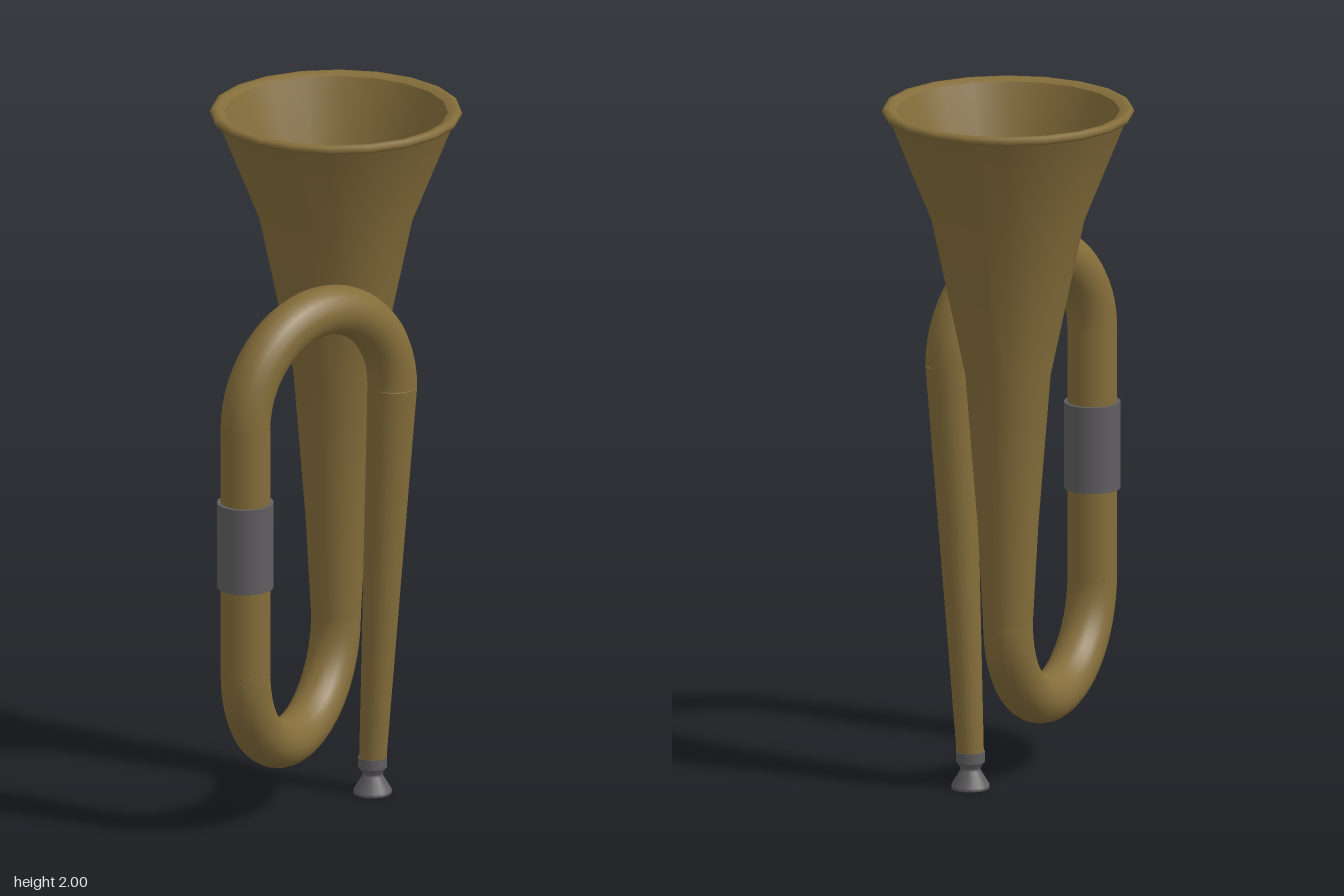
import * as THREE from 'three';

const brass = new THREE.MeshStandardMaterial({ color: 0x846d3a });
brass.name = 'brass';
const steel = new THREE.MeshStandardMaterial({ color: 0x605e60 });
steel.name = 'darkSteel';
const black = new THREE.MeshStandardMaterial({ color: 0x0a0a0a });
black.name = 'boreBlack';

const BACK = -0.145, FRONT = 0.42;      // z of the two runs of tubing
const MID = (BACK + FRONT) / 2, BEND = (FRONT - BACK) / 2;
const LOW = 0.5, HIGH = 1.22, R = 0.07; // ends of the straight runs, tube radius
const frontX = 0.115, pipeX = 0.2, mouthX = 0.13;

// Half-circle bend leaning sideways from backX to frontX
class Bend extends THREE.Curve {
  constructor(y, dir, backX) {
    super();
    Object.assign(this, { y, dir, backX });
  }
  getPoint(t, target = new THREE.Vector3()) {
    const a = Math.PI * t, k = (1 - Math.cos(a)) / 2;
    return target.set(
      THREE.MathUtils.lerp(this.backX, frontX, k),
      this.y + this.dir * BEND * Math.sin(a),
      MID - BEND * Math.cos(a));
  }
}

function add(group, name, geometry, material, x = 0, y = 0, z = 0) {
  const mesh = new THREE.Mesh(geometry, material);
  mesh.name = name;
  mesh.position.set(x, y, z);
  group.add(mesh);
  return mesh;
}

function lathe(points, segments) {
  return new THREE.LatheGeometry(points.map(([r, y]) => new THREE.Vector2(r, y)), segments);
}

export function createModel() {
  const model = new THREE.Group();
  model.name = 'bugle';

  // Flared bell: outer wall, rolled lip and inner wall
  add(model, 'bellOuter', lathe([[R, LOW], [0.085, 0.78], [0.12, HIGH], [0.215, 1.67], [0.338, 1.975]], 20), brass, 0, 0, BACK);
  add(model, 'bellLip', lathe([[0.335, 1.975], [0.35, 1.977], [0.355, 1.987], [0.35, 1.998], [0.335, 2], [0.315, 1.99]], 20), brass, 0, 0, BACK);
  add(model, 'bellInner', lathe([[0.315, 1.99], [0.203, 1.67], [0.155, 1.44]], 20), brass, 0, 0, BACK);
  const bore = add(model, 'bore', new THREE.CircleGeometry(0.16, 32), black, 0, 1.45, BACK);
  bore.rotation.x = -Math.PI / 2;

  // Looped tubing
  add(model, 'upperBend', new THREE.TubeGeometry(new Bend(HIGH, 1, pipeX), 28, R, 20), brass);
  add(model, 'lowerBend', new THREE.TubeGeometry(new Bend(LOW, -1, 0), 28, R, 20), brass);
  add(model, 'frontTube', new THREE.CylinderGeometry(R, R, HIGH - LOW, 20, 1, true), brass, frontX, (HIGH + LOW) / 2, FRONT);

  // Tapered pipe leaning out from the mouthpiece to the upper bend
  const from = new THREE.Vector3(mouthX, 0.09, BACK), to = new THREE.Vector3(pipeX, HIGH, BACK);
  const span = to.clone().sub(from);
  const pipe = add(model, 'mouthPipe', new THREE.CylinderGeometry(R, 0.038, span.length(), 20), brass);
  pipe.position.copy(from).lerp(to, 0.5);
  pipe.quaternion.setFromUnitVectors(new THREE.Vector3(0, 1, 0), span.normalize());

  // Grip sleeve around the front tube
  add(model, 'sleeve', new THREE.CylinderGeometry(0.08, 0.08, 0.25, 24), steel, frontX, 0.88, FRONT);

  // Mouthpiece: collar, waist and cup
  const mouthpiece = new THREE.Group();
  mouthpiece.name = 'mouthpiece';
  mouthpiece.position.set(mouthX, 0, BACK);
  model.add(mouthpiece);
  add(mouthpiece, 'collar', new THREE.CylinderGeometry(0.041, 0.041, 0.03, 16), steel, 0, 0.092, 0);
  add(mouthpiece, 'cup', lathe([[0, 0.012], [0.045, 0], [0.055, 0], [0.054, 0.01], [0.029, 0.052], [0.029, 0.06], [0.041, 0.08]], 16), steel);

  return model;
}
